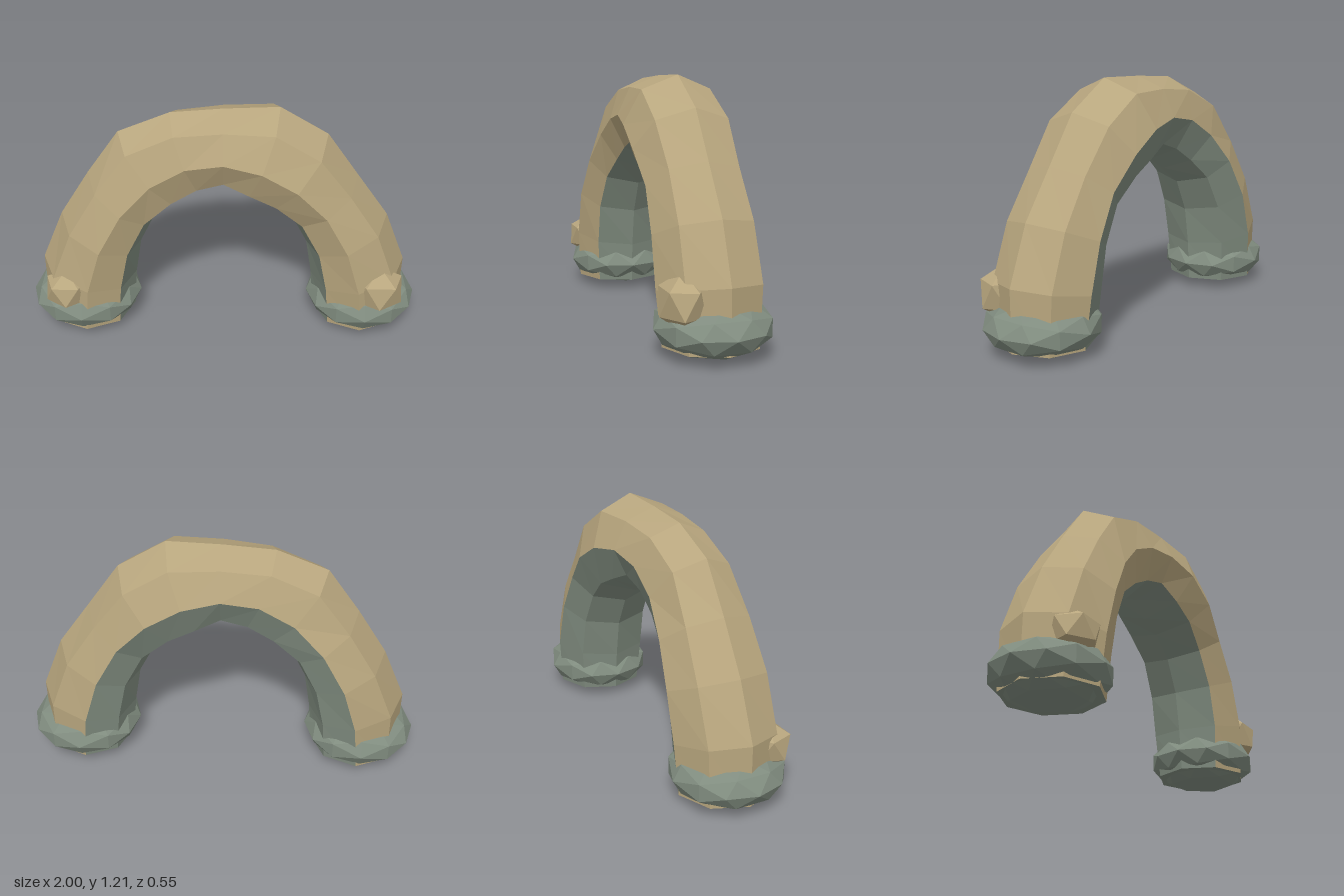
import * as THREE from 'three';

const tan = new THREE.MeshStandardMaterial({ color: 0xb8a67e, flatShading: true });
const grey = new THREE.MeshStandardMaterial({ color: 0x808c7f, flatShading: true });

// Radii of the 13 cross-sections, from the +x foot over the top to the -x foot
const OUTER = [0.225, 0.255, 0.23, 0.2, 0.24, 0.248, 0.19, 0.215, 0.25, 0.21, 0.225, 0.258, 0.23];
const INNER = [0.225, 0.225, 0.2, 0.195, 0.22, 0.235, 0.19, 0.215, 0.22, 0.19, 0.2, 0.225, 0.23];
const DEPTH = [0.23, 0.25, 0.245, 0.235, 0.25, 0.242, 0.215, 0.2, 0.205, 0.23, 0.25, 0.25, 0.235];
const SECTIONS = 12, SIDES = 8;

// Corner k of section i: an octagon set square to a half ellipse
function corner(i, k) {
  const t = (i / SECTIONS) * Math.PI, a = (k / SIDES) * Math.PI * 2;
  const normal = new THREE.Vector2(Math.cos(t) / 0.7, Math.sin(t) / 0.96).normalize();
  const reach = Math.cos(a) * (Math.cos(a) > 0 ? OUTER[i] : INNER[i]);
  return [
    0.7 * Math.cos(t) + normal.x * reach,
    0.05 + 0.96 * Math.sin(t) + normal.y * reach,
    Math.sin(a) * DEPTH[i],
  ];
}

function toMesh(positions, material, name) {
  const geometry = new THREE.BufferGeometry();
  geometry.setAttribute('position', new THREE.Float32BufferAttribute(positions, 3));
  geometry.computeVertexNormals();
  const mesh = new THREE.Mesh(geometry, material);
  mesh.name = name;
  return mesh;
}

// Lengthwise strips of the arch
function strips(sides, material, name) {
  const p = [];
  for (const k of sides) {
    for (let i = 0; i < SECTIONS; i++) {
      const a = corner(i, k), b = corner(i + 1, k);
      const c = corner(i + 1, k + 1), d = corner(i, k + 1);
      p.push(...a, ...b, ...c, ...a, ...c, ...d);
    }
  }
  return toMesh(p, material, name);
}

// Flat undersides of both legs
function legEnds() {
  const p = [];
  for (let k = 1; k < SIDES - 1; k++) {
    p.push(...corner(0, 0), ...corner(0, k), ...corner(0, k + 1));
    p.push(...corner(SECTIONS, 0), ...corner(SECTIONS, k + 1), ...corner(SECTIONS, k));
  }
  return toMesh(p, grey, 'legEnds');
}

function footBoulder(x, name) {
  const mesh = new THREE.Mesh(new THREE.IcosahedronGeometry(1, 1), grey);
  mesh.scale.set(0.282, 0.138, 0.275);
  mesh.position.set(x, 0.14, 0);
  mesh.name = name;
  return mesh;
}

// Small rock standing on one point, half sunk into the foot
function smallRock(x, y, size, name) {
  const geometry = new THREE.IcosahedronGeometry(1, 0);
  geometry.rotateX(-Math.atan((1 + Math.sqrt(5)) / 2));
  geometry.rotateY(Math.PI);
  const mesh = new THREE.Mesh(geometry, tan);
  mesh.scale.set(...size);
  mesh.position.set(x, y, 0.165);
  mesh.name = name;
  return mesh;
}

export function createModel() {
  const group = new THREE.Group();
  group.name = 'rockArch';
  group.add(
    strips([6, 7, 0, 1, 2], tan, 'archOuterRock'),
    strips([3, 4, 5], grey, 'archInnerRock'),
    legEnds(),
    footBoulder(0.717, 'leftFootBoulder'),
    footBoulder(-0.717, 'rightFootBoulder'),
    smallRock(0.785, 0.272, [0.138, 0.133, 0.118], 'leftSmallRock'),
    smallRock(-0.79, 0.265, [0.125, 0.112, 0.115], 'rightSmallRock'),
  );
  return group;
}
